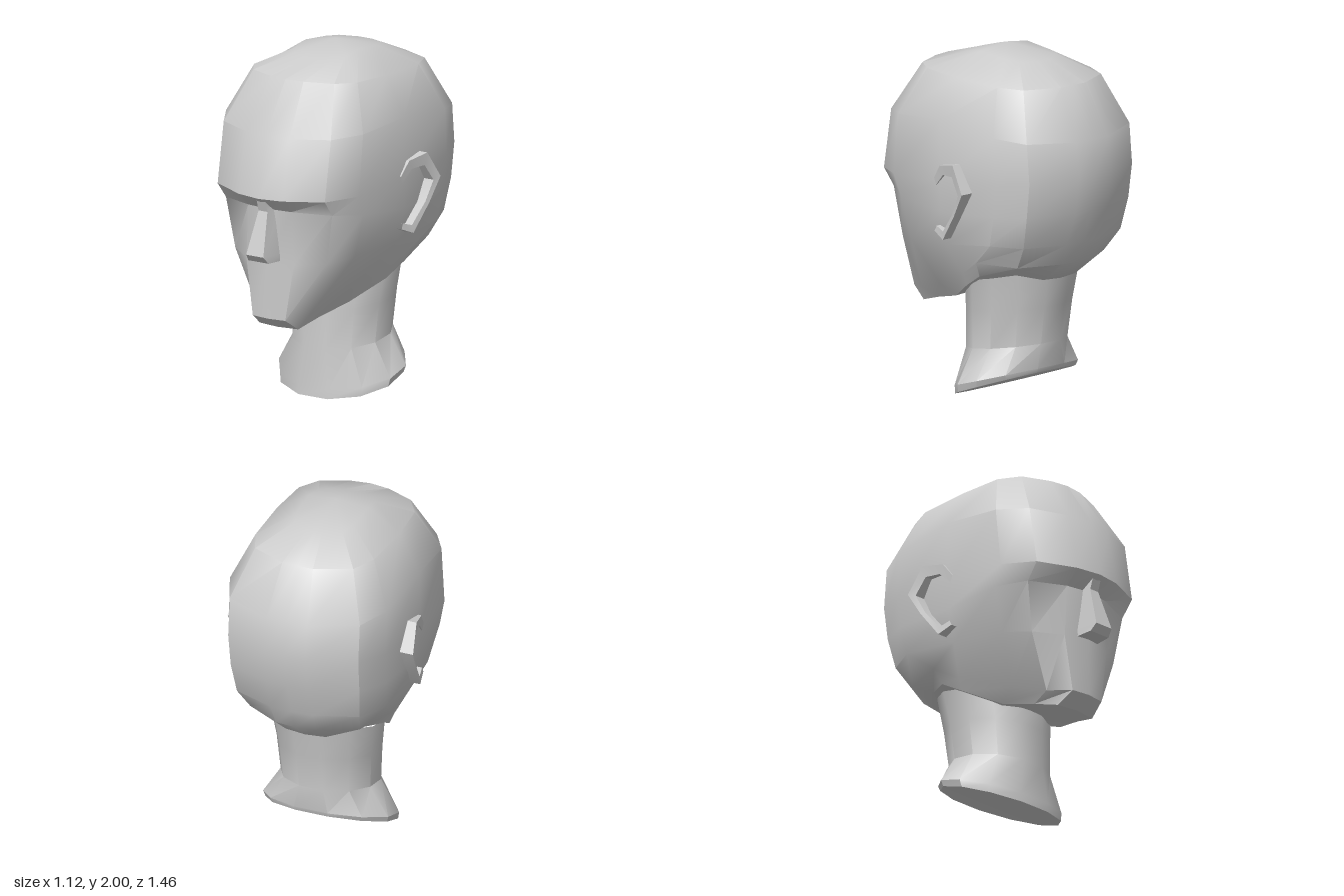
import * as THREE from 'three';
import { toCreasedNormals } from 'three/addons/utils/BufferGeometryUtils.js';

const material = new THREE.MeshStandardMaterial({ color: 0xcccccc });
const { lerp } = THREE.MathUtils;

// Skin closed rings of [x, y, z]; optional cap centres close the two ends.
function loft(name, rings, crease, capStart, capEnd) {
  const n = rings[0].length;
  const positions = rings.flat(2);
  const index = [];
  for (let i = 0; i < rings.length - 1; i++) {
    for (let j = 0; j < n; j++) {
      const a = i * n + j, b = i * n + (j + 1) % n;
      index.push(a, a + n, b, b, a + n, b + n);
    }
  }
  const cap = (centre, row, flip) => {
    const c = positions.length / 3;
    positions.push(...centre);
    for (let j = 0; j < n; j++) {
      const a = row * n + j, b = row * n + (j + 1) % n;
      index.push(c, flip ? b : a, flip ? a : b);
    }
  };
  if (capStart) cap(capStart, 0, false);
  if (capEnd) cap(capEnd, rings.length - 1, true);
  const geometry = new THREE.BufferGeometry();
  geometry.setAttribute('position', new THREE.Float32BufferAttribute(positions, 3));
  geometry.setIndex(index);
  const mesh = new THREE.Mesh(toCreasedNormals(geometry, crease), material);
  mesh.name = name;
  return mesh;
}

// Mirror a half ring (front centre to back centre) into a full ring.
const mirrorRing = (half) => [
  ...half,
  ...half.slice(1, -1).reverse().map(([x, y, z]) => [-x, y, z]),
];

// Half outline of the skull: share of the half width, share of the front or back depth.
const outline = [
  [0, 1], [0.3, 0.965], [0.74, 0.82], [0.945, 0.56], [1, 0],
  [0.965, -0.58], [0.8, -0.84], [0.25, -1], [0, -1],
];

function skullRing([w, zFront, zBack, yFront, ySide, yBack]) {
  return outline.map(([u, t]) => [
    u * w,
    lerp(ySide, t > 0 ? yFront : yBack, Math.abs(t)),
    t > 0 ? t * zFront : -t * zBack,
  ]);
}

function createHead() {
  // half width, front z, back z, then y at front, side and back
  const skull = [
    [0.18, 0.2, -0.32, 1.935, 1.97, 1.94],
    [0.37, 0.44, -0.55, 1.865, 1.85, 1.84],
    [0.49, 0.63, -0.7, 1.58, 1.63, 1.56],
    [0.49, 0.7, -0.725, 1.24, 1.28, 1.36],
    [0.485, 0.61, -0.695, 1.165, 1.11, 1.16],
  ].map(skullRing);
  const cheek = [
    [0, 0.86, 0.61], [0.16, 0.86, 0.585], [0.31, 0.87, 0.48], [0.39, 0.89, 0.33], [0.445, 0.92, 0],
    [0.455, 0.97, -0.36], [0.37, 0.97, -0.54], [0.13, 0.97, -0.63], [0, 0.97, -0.635],
  ];
  const jaw = [
    [0, 0.54, 0.61], [0.11, 0.54, 0.595], [0.18, 0.56, 0.46], [0.25, 0.63, 0.25], [0.36, 0.75, -0.05],
    [0.405, 0.84, -0.2], [0.33, 0.84, -0.45], [0.12, 0.85, -0.58], [0, 0.85, -0.59],
  ];
  const jawEdge = [
    [0, 0.475, 0.52], [0.13, 0.475, 0.5], [0.165, 0.52, 0.35], [0.22, 0.57, 0.15], [0.33, 0.68, -0.05],
    [0.36, 0.755, -0.18], [0.28, 0.78, -0.33], [0.12, 0.74, -0.44], [0, 0.735, -0.45],
  ];
  const rings = [...skull, cheek, jaw, jawEdge].map(mirrorRing);
  return loft('head', rings, 0.7, [0, 2, -0.03], [0, 0.68, -0.1]);
}

function createNeck() {
  const sides = 12;
  // half width, front y and z, back y and z
  const rings = [
    [0.32, 0.66, 0.15, 0.79, -0.44],
    [0.295, 0.5, 0.16, 0.57, -0.4],
    [0.28, 0.28, 0.165, 0.36, -0.37],
    [0.39, 0.06, 0.178, 0.225, -0.375],
    [0.38, 0.005, 0.182, 0.2, -0.365],
  ].map(([w, yFront, zFront, yBack, zBack]) =>
    Array.from({ length: sides }, (_, j) => {
      const a = ((j + 0.5) / sides) * Math.PI * 2;
      const t = (1 - Math.cos(a) / Math.cos(Math.PI / sides)) / 2;
      return [w * Math.sin(a) / Math.cos(Math.PI / sides) * 0.966,
        lerp(yFront, yBack, t), lerp(zFront, zBack, t)];
    }));
  return loft('neck', rings, 0.6, null, [0, 0.1, -0.09]);
}

function createNose() {
  // ridge half width, base half width, y, ridge z
  const rings = [
    [0.028, 0.035, 1.245, 0.68],
    [0.03, 0.05, 1.16, 0.652],
    [0.058, 0.08, 0.92, 0.73],
    [0.068, 0.078, 0.88, 0.695],
  ].map(([ridge, base, y, z]) => [
    [-ridge, y, z], [ridge, y, z], [base, y - 0.005, 0.56], [-base, y - 0.005, 0.56],
  ]);
  return loft('nose', rings, 0.3, null, [0, 0.876, 0.62]);
}

// C-shaped raised rim, flaring outwards towards the back.
function createEar(side) {
  // outer z and y, inner z and y
  const path = [
    [0.04, 1.3, 0.025, 1.26],
    [-0.02, 1.38, -0.045, 1.33],
    [-0.15, 1.405, -0.135, 1.335],
    [-0.245, 1.255, -0.2, 1.24],
    [-0.165, 1.12, -0.14, 1.125],
    [-0.05, 0.965, -0.045, 1.01],
    [0.035, 1.0, 0.02, 1.03],
  ];
  const height = (z) => 0.495 + (0.04 - z) * 0.225;
  const rings = path.map(([zo, yo, zi, yi]) => {
    const ring = [
      [side * 0.44, yo, zo], [side * 0.44, yi, zi],
      [side * (height(zi) - 0.005), yi, zi], [side * height(zo), yo, zo],
    ];
    return side > 0 ? ring : ring.reverse();
  });
  return loft(side > 0 ? 'leftEar' : 'rightEar', rings, 0.3);
}

export function createModel() {
  const model = new THREE.Group();
  model.name = 'headBust';
  model.add(createHead(), createNeck(), createNose(), createEar(1), createEar(-1));
  return model;
}
